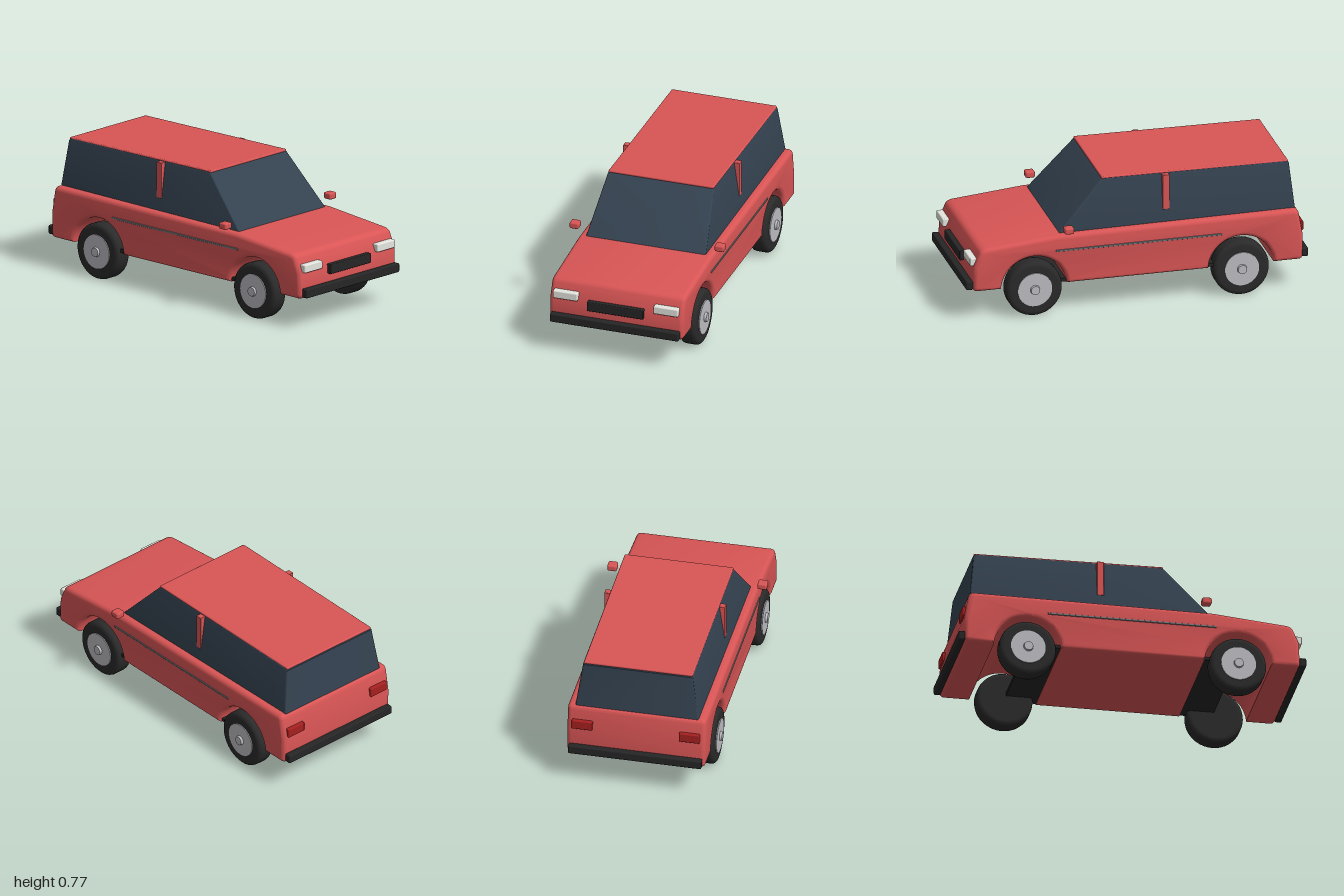
import * as THREE from 'three';
import { toCreasedNormals } from 'three/addons/utils/BufferGeometryUtils.js';
import { RoundedBoxGeometry } from 'three/addons/geometries/RoundedBoxGeometry.js';

const paint = (color) => new THREE.MeshStandardMaterial({ color });

export function createModel() {
  const car = new THREE.Group();
  car.name = 'car';
  const red = paint(0xd95555), glass = paint(0x344250), black = paint(0x262626);
  const rubber = paint(0x2a2a2a), metal = paint(0xbcbcc2), trim = paint(0x777a7d);
  const lamp = paint(0xe6e6e0), tail = paint(0xa82020);

  function add(name, geometry, material, x = 0, y = 0, z = 0, parent = car) {
    const mesh = new THREE.Mesh(geometry, material);
    mesh.name = name;
    mesh.position.set(x, y, z);
    parent.add(mesh);
    return mesh;
  }
  const box = (name, [w, h, d], material, x, y, z, r = 0.008) =>
    add(name, new RoundedBoxGeometry(w, h, d, 2, Math.min(r, w / 2.1, h / 2.1, d / 2.1)), material, x, y, z);

  // Side profile extruded across the car, with rounded edges kept inside the outline
  function across(shape, halfWidth, bevel) {
    const g = new THREE.ExtrudeGeometry(shape, {
      depth: 2 * (halfWidth - bevel), bevelEnabled: true, bevelThickness: bevel, bevelSize: bevel,
      bevelOffset: -bevel, bevelSegments: 4, curveSegments: 20,
    });
    return g.translate(0, 0, bevel - halfWidth);
  }

  // Lower body with wheel arches
  const wheelX = 0.605, wheelY = 0.165, archR = 0.192, bottom = 0.178;
  const a = Math.asin((bottom - wheelY) / archR), dx = archR * Math.cos(a);
  const s = new THREE.Shape();
  s.moveTo(-0.94, bottom);
  for (const x of [-wheelX, wheelX]) {
    s.lineTo(x - dx, bottom);
    s.absarc(x, wheelY, archR, Math.PI - a, a, true);
  }
  s.lineTo(0.935, bottom);
  s.quadraticCurveTo(0.96, bottom, 0.962, 0.205);
  s.lineTo(0.957, 0.33);
  s.lineTo(0.922, 0.41);
  s.quadraticCurveTo(0.912, 0.43, 0.88, 0.434);
  s.lineTo(0.46, 0.473);
  s.lineTo(-0.91, 0.484);
  s.quadraticCurveTo(-0.94, 0.484, -0.945, 0.455);
  s.lineTo(-0.967, 0.33);
  s.lineTo(-0.965, 0.205);
  s.quadraticCurveTo(-0.965, bottom, -0.94, bottom);
  add('body', toCreasedNormals(across(s, 0.4, 0.025), 0.6), red);

  // Glass cabin, narrowing towards the roof
  const c = new THREE.Shape([[-0.932, 0.46], [0.462, 0.46], [0.192, 0.758], [0.17, 0.767], [-0.89, 0.757], [-0.904, 0.745]]
    .map(([x, y]) => new THREE.Vector2(x, y)));
  const cabin = across(c, 0.36, 0.01);
  const p = cabin.attributes.position;
  for (let i = 0; i < p.count; i++) {
    p.setZ(i, p.getZ(i) * (1 - 0.12 * (p.getY(i) - 0.46) / 0.3));
  }
  add('cabinGlass', toCreasedNormals(cabin, 0.5), glass);

  // Roof panel, rising slightly towards the front
  box('roof', [1.09, 0.016, 0.63], red, -0.355, 0.7585, 0, 0.007).rotation.z = 0.0095;

  // Underbody tray
  box('undertray', [1.2, 0.022, 0.76], black, 0, 0.193, 0, 0.004);

  // Bumpers, grille and lights
  box('frontBumper', [0.04, 0.052, 0.77], black, 0.98, 0.215, 0);
  box('rearBumper', [0.04, 0.052, 0.77], black, -0.98, 0.215, 0);
  box('grille', [0.04, 0.057, 0.336], black, 0.962, 0.313, 0, 0.005);
  for (const side of [1, -1]) {
    box('headlight', [0.04, 0.048, 0.147], lamp, 0.956, 0.354, side * 0.301, 0.007);
    box('tailLight', [0.03, 0.056, 0.12], tail, -0.96, 0.373, side * 0.31, 0.006);
    box('doorPillar', [0.04, 0.21, 0.036], red, -0.178, 0.653, side * 0.331, 0.004);
    box('mirror', [0.055, 0.038, 0.055], red, 0.415, 0.518, side * 0.434, 0.01);
    box('sideTrim', [0.97, 0.011, 0.012], trim, -0.005, 0.383, side * 0.399, 0.003);
  }

  // Wheels: rounded tyre, flat disc and centre cap
  const tyre = new THREE.LatheGeometry(
    [[0, -0.052], [0.135, -0.052], [0.15, -0.049], [0.16, -0.04], [0.163, -0.028],
      [0.163, 0.028], [0.16, 0.04], [0.15, 0.049], [0.135, 0.052], [0, 0.052]]
      .map(([r, y]) => new THREE.Vector2(r, y)), 40).rotateX(Math.PI / 2);
  const disc = new THREE.CylinderGeometry(0.1, 0.1, 0.012, 36).rotateX(Math.PI / 2);
  const cap = new THREE.CylinderGeometry(0.026, 0.029, 0.018, 24).rotateX(Math.PI / 2);
  for (const x of [wheelX, -wheelX]) {
    for (const side of [1, -1]) {
      const wheel = new THREE.Group();
      wheel.name = (x > 0 ? 'front' : 'rear') + 'Wheel';
      wheel.position.set(x, wheelY - 0.002, side * 0.353);
      if (side < 0) wheel.rotation.y = Math.PI;
      add('tyre', tyre, rubber, 0, 0, 0, wheel);
      add('wheelDisc', disc, metal, 0, 0, 0.052, wheel);
      add('hubCap', cap, metal, 0, 0, 0.063, wheel);
      car.add(wheel);
    }
  }
  return car;
}
